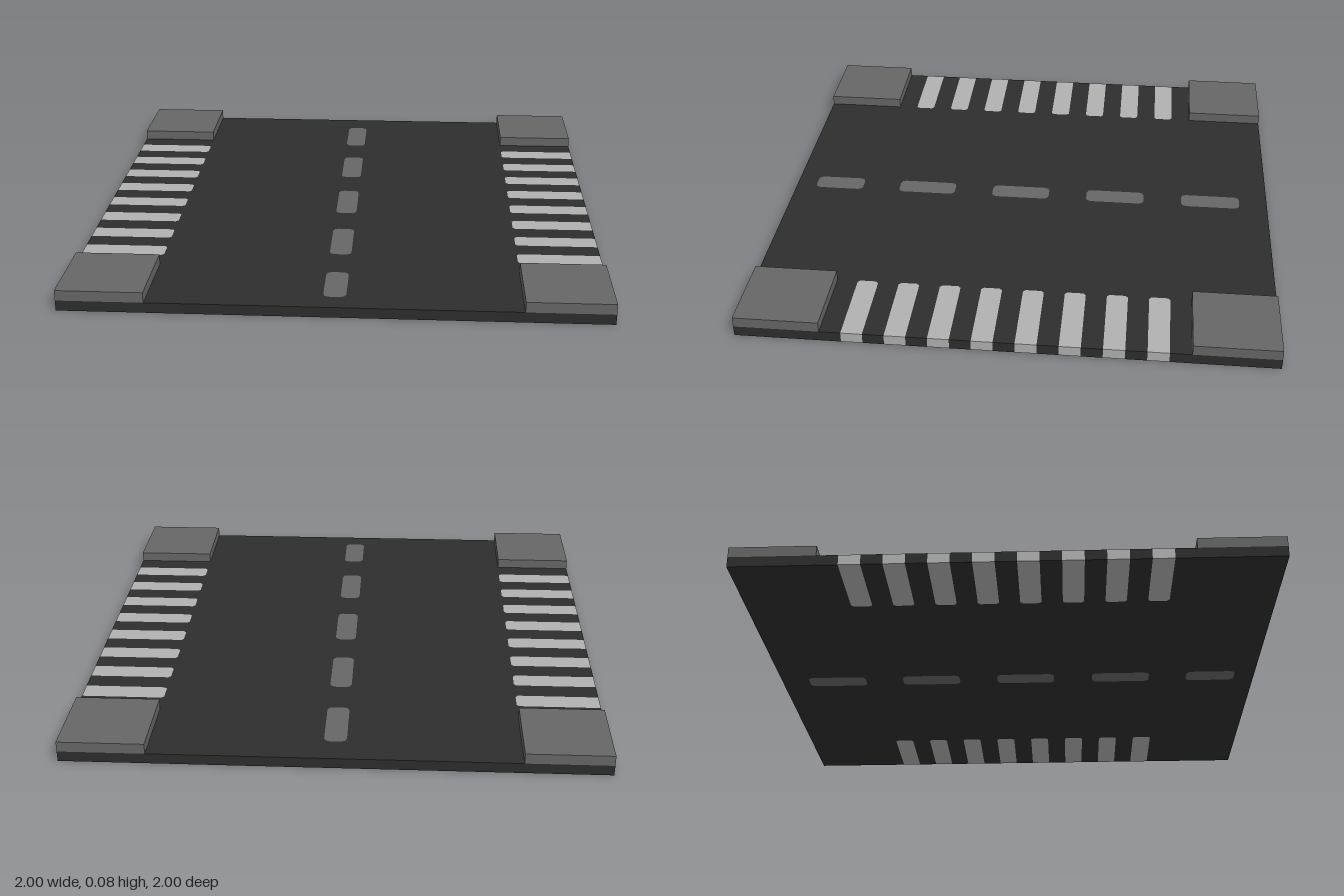
import * as THREE from 'three';

const ROAD_H = 0.04;

const mat = (name, color) => {
  const m = new THREE.MeshStandardMaterial({ color });
  m.name = name;
  return m;
};

// Lays a plan outline (x, z) flat as a slab from y = 0 to the road height
function slab(shape) {
  const g = new THREE.ExtrudeGeometry(shape, { depth: ROAD_H, bevelEnabled: false });
  return g.rotateX(Math.PI / 2).translate(0, ROAD_H, 0);
}

// Outline of one crossing stripe on the +x edge; side = -1 turns it to the other edge
const stripePoints = (z, side) => [
  [1, z - 0.04], [0.69, z - 0.04], [0.68, z - 0.03],
  [0.68, z + 0.03], [0.69, z + 0.04], [1, z + 0.04],
].map(([x, y]) => new THREE.Vector2(x * side, y * side));

// Outline of one centre dash with softened corners
function dashPoints(z0, z1) {
  const w = 0.042, r = 0.02, c = r * 0.3;
  const corner = [[w - r, r], [w - c, c], [w, 0]];
  const half = [[w - r, z0], [w - c, z0 + c], [w, z0 + r], [w, z1 - r], [w - c, z1 - c], [w - r, z1]];
  const other = half.map(([x, z]) => [-x, z]).reverse();
  return [...half, ...other].map(([x, z]) => new THREE.Vector2(x, z));
}

export function createModel() {
  const group = new THREE.Group();
  const asphalt = mat('asphalt', 0x2d2d2d);
  const grey = mat('mid grey', 0x666666);
  const paint = mat('light grey paint', 0xb0b0b0);

  const add = (name, geometry, material) => {
    const mesh = new THREE.Mesh(geometry, material);
    mesh.name = name;
    group.add(mesh);
    return mesh;
  };

  const stripeZ = Array.from({ length: 8 }, (_, i) => -0.56 + i * 0.16);
  const dashes = [[-0.885, -0.642], [-0.484, -0.242], [-0.083, 0.158], [0.318, 0.558], [0.715, 0.917]];

  // Road slab, notched for the stripes and pierced for the dashes
  const outline = [];
  for (const side of [1, -1]) {
    outline.push(new THREE.Vector2(side, -side));
    for (const z of stripeZ) outline.push(...stripePoints(z, side));
    outline.push(new THREE.Vector2(side, side));
  }
  const road = new THREE.Shape(outline);
  for (const [a, b] of dashes) road.holes.push(new THREE.Path(dashPoints(a, b)));
  add('road', slab(road), asphalt);

  // Inlaid crossing stripes and centre dashes
  for (const side of [1, -1])
    for (const z of stripeZ)
      add('crossingStripe', slab(new THREE.Shape(stripePoints(z, side))), paint);
  for (const [a, b] of dashes)
    add('centreDash', slab(new THREE.Shape(dashPoints(a, b))), grey);

  // Raised pavement at the four corners
  for (const sx of [1, -1])
    for (const sz of [1, -1])
      add('cornerPavement', new THREE.BoxGeometry(0.32, 0.04, 0.32), grey)
        .position.set(sx * 0.84, ROAD_H + 0.02, sz * 0.84);

  return group;
}
